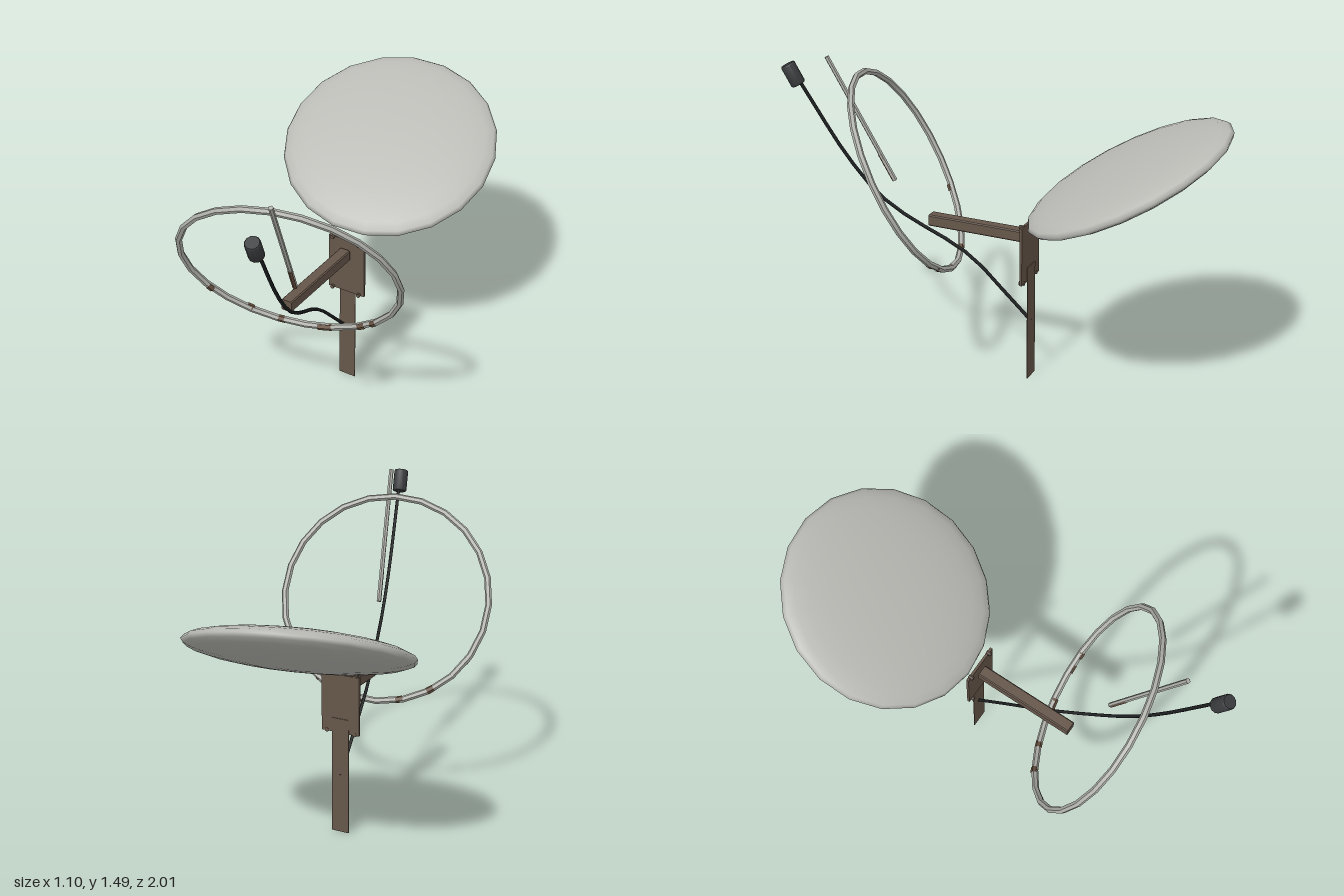
import * as THREE from 'three';
import { toCreasedNormals } from 'three/addons/utils/BufferGeometryUtils.js';

export function createModel() {
  const model = new THREE.Group();
  const mat = (name, color) => {
    const m = new THREE.MeshStandardMaterial({ color });
    m.name = name;
    return m;
  };
  const paleGrey = mat('pale grey dish paint', 0xb9bab4);
  const metalGrey = mat('worn grey metal', 0xb0b0ab);
  const brown = mat('brown bracket metal', 0x66564a);
  const rust = mat('rust', 0x66503f);
  const black = mat('black cable', 0x1c1e1f);
  const charcoal = mat('charcoal receiver', 0x3a3b3d);

  const { degToRad } = THREE.MathUtils;
  const add = (name, geometry, material, x = 0, y = 0, z = 0, parent = model) => {
    const mesh = new THREE.Mesh(geometry, material);
    mesh.name = name;
    mesh.position.set(x, y, z);
    parent.add(mesh);
    return mesh;
  };
  // Tilted parts share one aim: yaw, then pitch
  const aim = (object) => {
    object.rotation.set(degToRad(27.5), degToRad(16), 0, 'YXZ');
    return object;
  };
  const addAimedGroup = (name, x, y, z) => {
    const group = aim(new THREE.Group());
    group.name = name;
    group.position.set(x, y, z);
    model.add(group);
    return group;
  };
  const creased = (g) => toCreasedNormals(g, 0.6);

  // Flat post and back plate
  add('post', new THREE.BoxGeometry(0.085, 0.56, 0.003), brown, -0.0125, 0.28, -0.112);
  add('backPlate', new THREE.BoxGeometry(0.19, 0.28, 0.012), brown, -0.011, 0.63, -0.103);

  // Bolts at the plate corners
  for (const x of [-0.083, 0.058]) {
    for (const y of [0.493, 0.767]) {
      const bolt = add('bolt', creased(new THREE.CylinderGeometry(0.01, 0.01, 0.024, 8)), brown, x, y, -0.098);
      bolt.rotation.x = Math.PI / 2;
    }
  }

  // Square beam with slightly chamfered corners
  const a = 0.027, b = 0.022;
  const section = new THREE.Shape([
    [-b, -a], [b, -a], [a, -b], [a, b], [b, a], [-b, a], [-a, b], [-a, -b],
  ].map(([x, y]) => new THREE.Vector2(x, y)));
  add('beam', new THREE.ExtrudeGeometry(section, { depth: 0.482, bevelEnabled: false }),
    brown, -0.013, 0.698, -0.088);

  // Smooth flattened dish with a rounded rim
  const dish = new THREE.SphereGeometry(0.5, 20, 14);
  dish.scale(1, 0.15, 1);
  aim(add('dish', dish, paleGrey, -0.06, 1.036, -0.555));

  // Rim ring
  const ring = addAimedGroup('rimRing', 0.057, 0.95, 0.471);
  add('ringTube', creased(new THREE.TorusGeometry(0.488, 0.0155, 6, 24)), metalGrey, 0, 0, 0, ring);

  // Rust patches: angle, span, and offset toward the ring's front or back
  for (const [deg, span, offset] of [
    [213, 4, 0.004], [239, 4, -0.004], [257, 4, 0], [281, 8, 0.003], [304, 5, 0.003], [313, 4, 0.003],
  ]) {
    const patch = add('rustPatch',
      creased(new THREE.TorusGeometry(0.486, 0.016, 6, 1, degToRad(span))), rust, 0, 0, offset, ring);
    patch.rotation.z = degToRad(deg - span / 2);
  }

  // Feed arm: grey rod, rusted on the front of its lower end
  const arm = addAimedGroup('feedArm', 0.153, 1.197, 0.651);
  add('armRod', creased(new THREE.CylinderGeometry(0.011, 0.011, 0.64, 6)), metalGrey, 0, 0, 0, arm);
  add('armRust', creased(new THREE.CylinderGeometry(0.011, 0.011, 0.14, 6)), rust, 0, -0.25, 0.003, arm);

  // Receiver: short drum with chamfered ends
  const drum = [[0, -0.052], [0.03, -0.052], [0.034, -0.046], [0.034, 0.046], [0.03, 0.052], [0, 0.052]]
    .map(([x, y]) => new THREE.Vector2(x, y));
  aim(add('receiver', creased(new THREE.LatheGeometry(drum, 12)), charcoal, 0.224, 1.387, 0.953));

  // Sagging cable from the post to the receiver
  const path = new THREE.CatmullRomCurve3([
    [-0.014, 0.28, -0.11], [0, 0.415, 0.025], [0.014, 0.55, 0.165], [0.04, 0.63, 0.28], [0.095, 0.74, 0.46],
    [0.13, 0.84, 0.585], [0.165, 1.01, 0.72], [0.217, 1.35, 0.92],
  ].map((p) => new THREE.Vector3(...p)));
  add('cable', new THREE.TubeGeometry(path, 14, 0.008, 6), black);

  return model;
}
